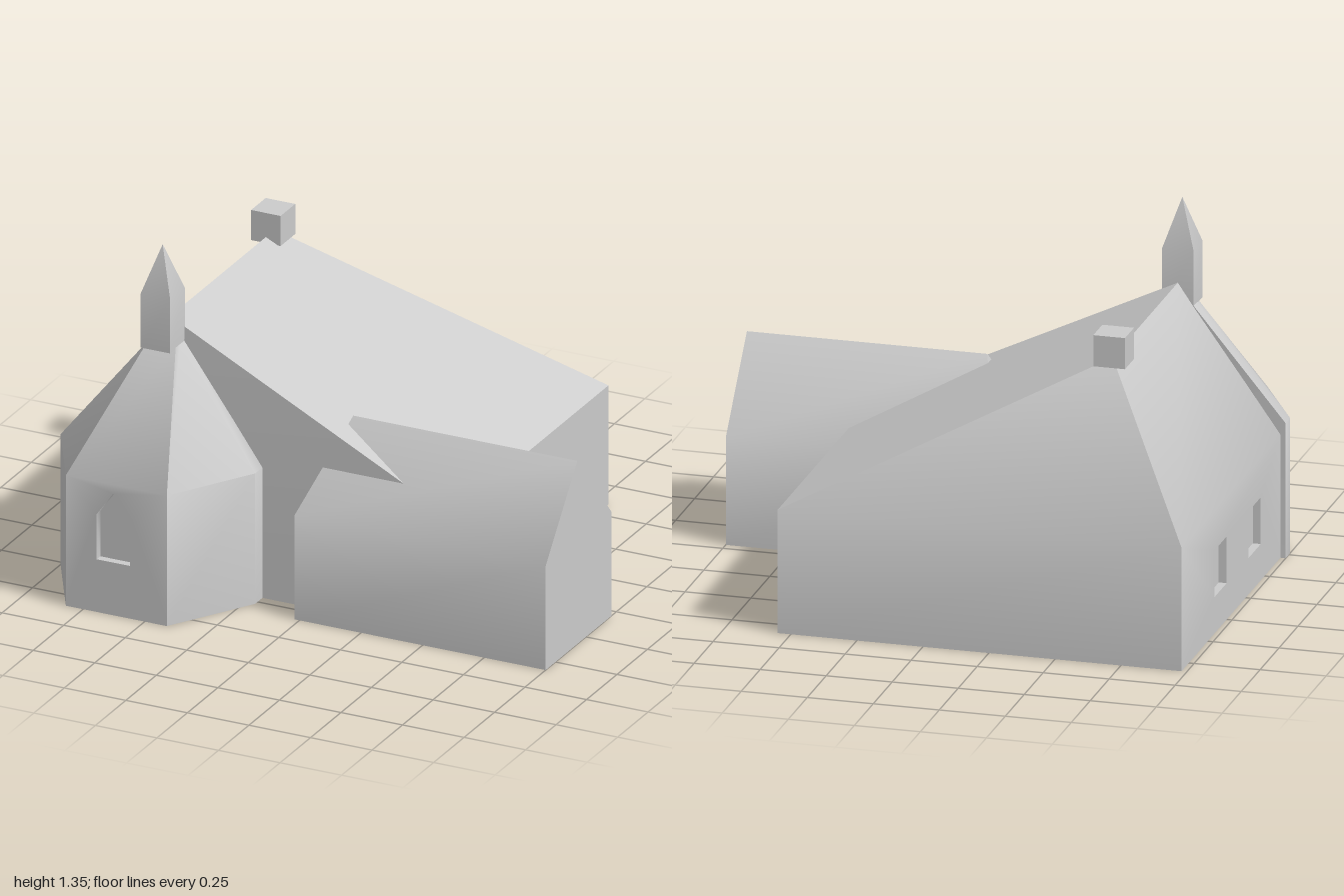
import * as THREE from 'three';
import { toCreasedNormals } from 'three/addons/utils/BufferGeometryUtils.js';

const CREASE = 0.74;
const V = (x, y, z) => new THREE.Vector3(x, y, z);
// Horizontal ring from [x, z] pairs, running left, front, right, back
const ring = (plan, y) => plan.map(([x, z]) => V(x, y, z));
const rect = (x0, x1, z0, z1) => [[x0, z0], [x0, z1], [x1, z1], [x1, z0]];

// Flat polygon, with optional holes, as triangles
function face(out, pts, holes = []) {
  const n = V(0, 0, 0);
  pts.forEach((p, i) => n.add(p.clone().cross(pts[(i + 1) % pts.length])));
  n.normalize();
  const u = pts[1].clone().sub(pts[0]);
  u.addScaledVector(n, -u.dot(n)).normalize();
  const v = n.clone().cross(u);
  const flat = (loop) => loop.map((p) => new THREE.Vector2(p.dot(u), p.dot(v)));
  const all = [pts, ...holes].flat();
  for (const tri of THREE.ShapeUtils.triangulateShape(flat(pts), holes.map(flat))) {
    tri.forEach((i) => out.push(all[i].x, all[i].y, all[i].z));
  }
}

// Side faces between two rings; holes[i] lists the openings in side i
function skirt(out, lo, hi, holes = {}) {
  lo.forEach((a, i) => {
    const j = (i + 1) % lo.length;
    face(out, [a, lo[j], hi[j], hi[i]], holes[i]);
  });
}

// Reveal and back panel of a window set into a wall
function recess(out, hole, inward) {
  const back = hole.map((p) => p.clone().add(inward));
  hole.forEach((a, i) => {
    const j = (i + 1) % hole.length;
    face(out, [a, hole[j], back[j], back[i]]);
  });
  face(out, back);
}

const floor = (out, lo) => face(out, [...lo].reverse());

export function createModel() {
  const model = new THREE.Group();
  const stone = new THREE.MeshStandardMaterial({ color: 0xcccccc });
  stone.name = 'paleStone';

  const add = (name, build) => {
    const out = [];
    build(out);
    const geometry = new THREE.BufferGeometry();
    geometry.setAttribute('position', new THREE.Float32BufferAttribute(out, 3));
    const mesh = new THREE.Mesh(toCreasedNormals(geometry, CREASE), stone);
    mesh.name = name;
    model.add(mesh);
  };

  // Main hall: one gable end, one hipped end, off-centre ridge
  add('mainHall', (out) => {
    const plan = rect(-0.98, 0.55, -0.845, 0.46);
    const lo = ring(plan, 0), eave = ring(plan, 0.475);
    const windows = [-0.41, 0.04].map((z) => [
      V(-0.98, 0.14, z), V(-0.98, 0.14, z + 0.16), V(-0.98, 0.32, z + 0.16), V(-0.98, 0.32, z)]);
    skirt(out, lo, eave, { 0: windows });
    windows.forEach((w) => recess(out, w, V(0.03, 0, 0)));
    floor(out, lo);
    const [bl, fl, fr, br] = eave;
    const ridgeBack = V(-0.6, 1.034, -0.43), ridgeFront = V(-0.6, 1.034, 0.43);
    face(out, [bl, fl, ridgeFront, ridgeBack]);
    face(out, [fl, fr, ridgeFront]);
    face(out, [fr, br, ridgeBack, ridgeFront]);
    face(out, [br, bl, ridgeBack]);
  });

  // Side wing with its inner end leaning into the hall roof
  add('sideWing', (out) => {
    const plan = rect(-0.02, 1, 0.04, 0.58);
    const lo = ring(plan, 0), eave = ring(plan, 0.415);
    skirt(out, lo, eave);
    floor(out, lo);
    const [bl, fl, fr, br] = eave;
    const inner = V(0.09, 0.73, 0.32), outer = V(1, 0.73, 0.32);
    face(out, [bl, fl, inner]);
    face(out, [fl, fr, outer, inner]);
    face(out, [fr, br, outer]);
    face(out, [br, bl, inner, outer]);
  });

  // Half-hexagon apse with a pointed front window
  add('apse', (out) => {
    const plan = [[-1, 0.46], [-1, 0.52], [-0.82, 0.84], [-0.41, 0.84], [-0.21, 0.52], [-0.21, 0.46]];
    const top = [[-0.66, 0.43], [-0.66, 0.47], [-0.655, 0.505], [-0.54, 0.505], [-0.54, 0.47], [-0.54, 0.43]];
    const lo = ring(plan, 0), eave = ring(plan, 0.52), crown = ring(top, 0.95);
    const win = [[-0.695, 0.21], [-0.56, 0.21], [-0.56, 0.39], [-0.628, 0.485], [-0.695, 0.39]]
      .map(([x, y]) => V(x, y, 0.84));
    skirt(out, lo, eave, { 2: [win] });
    recess(out, win, V(0, 0, -0.03));
    skirt(out, eave, crown);
    face(out, crown);
    floor(out, lo);
  });

  // Bell turret with a pyramid spire
  add('spire', (out) => {
    const plan = rect(-0.66, -0.54, 0.43, 0.55);
    const lo = ring(plan, 0.945), hi = ring(plan, 1.16), tip = V(-0.6, 1.345, 0.49);
    skirt(out, lo, hi);
    floor(out, lo);
    hi.forEach((a, i) => face(out, [a, hi[(i + 1) % 4], tip]));
  });

  // Chimney at the back end of the ridge
  const chimney = new THREE.Mesh(new THREE.BoxGeometry(0.12, 0.12, 0.12), stone);
  chimney.position.set(-0.6, 1.07, -0.417);
  chimney.name = 'chimney';
  model.add(chimney);

  return model;
}
